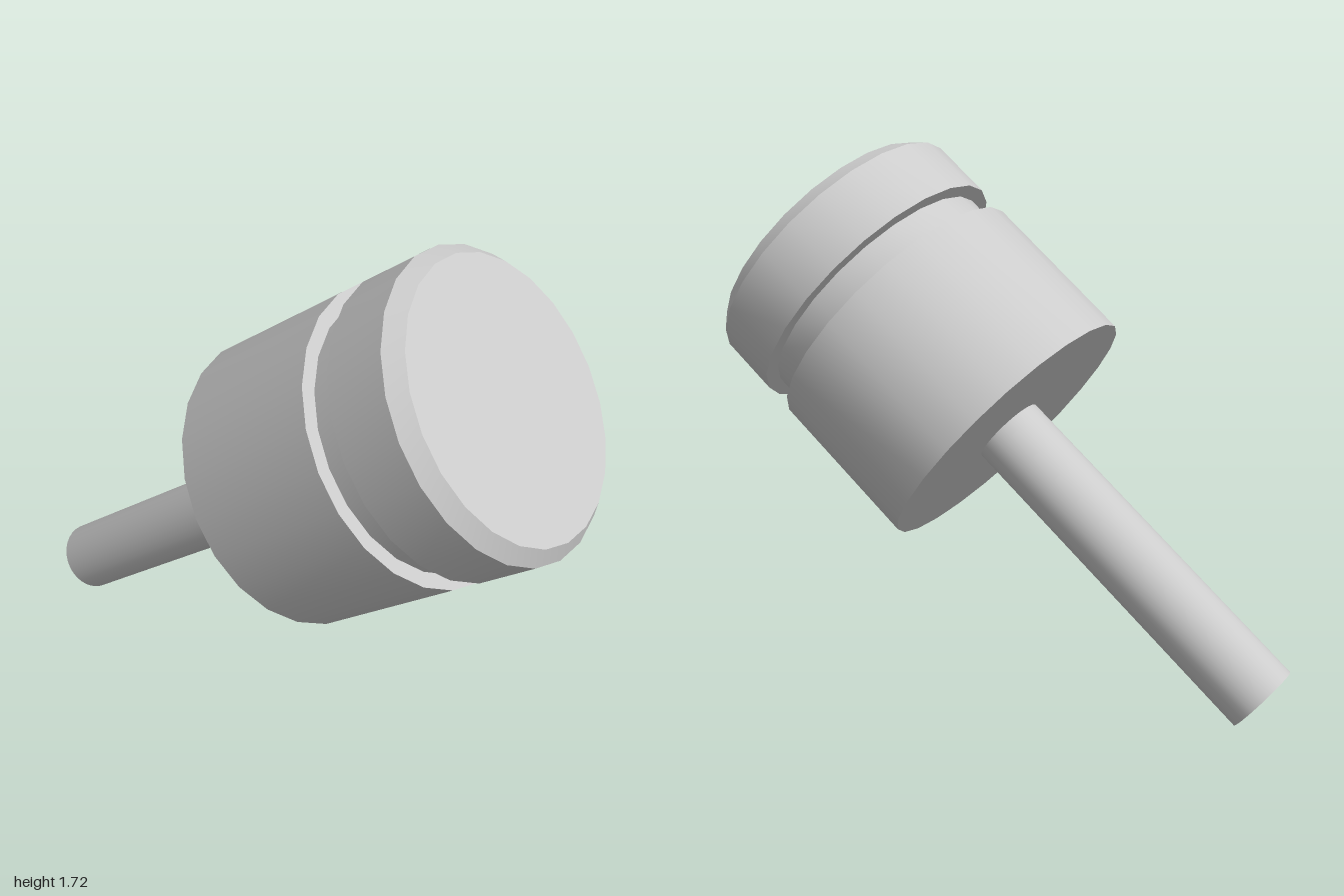
import * as THREE from 'three';
import { toCreasedNormals } from 'three/addons/utils/BufferGeometryUtils.js';

const material = new THREE.MeshStandardMaterial({ color: 0xcccccc });

// Turned solid from [radius, height] pairs, with sharp edges kept
function turned(name, profile, segments) {
  const points = profile.map(([r, y]) => new THREE.Vector2(r, y));
  const geometry = toCreasedNormals(new THREE.LatheGeometry(points, segments), 0.5);
  const mesh = new THREE.Mesh(geometry, material);
  mesh.name = name;
  return mesh;
}

export function createModel() {
  const model = new THREE.Group();
  model.name = 'mallet';

  // Slim round handle, along the local y axis
  const handleLength = 1.18;
  model.add(turned('handle', [
    [0, 0], [0.122, 0], [0.122, handleLength], [0, handleLength],
  ], 32));

  // Drum-shaped head with a groove and a chamfered striking face
  const head = turned('head', [
    [0, 0], [0.488, 0], [0.488, 0.545],       // body
    [0.44, 0.545], [0.44, 0.647],             // groove
    [0.488, 0.647], [0.488, 0.854],           // rim
    [0.444, 0.902], [0, 0.902],               // chamfer and face
  ], 24);
  head.position.y = handleLength;
  model.add(head);

  // Lean the whole tool towards +x, resting on the handle's end
  model.rotation.z = -THREE.MathUtils.degToRad(52.6);
  model.position.set(-0.926, 0.097, 0);

  const root = new THREE.Group();
  root.add(model);
  return root;
}
